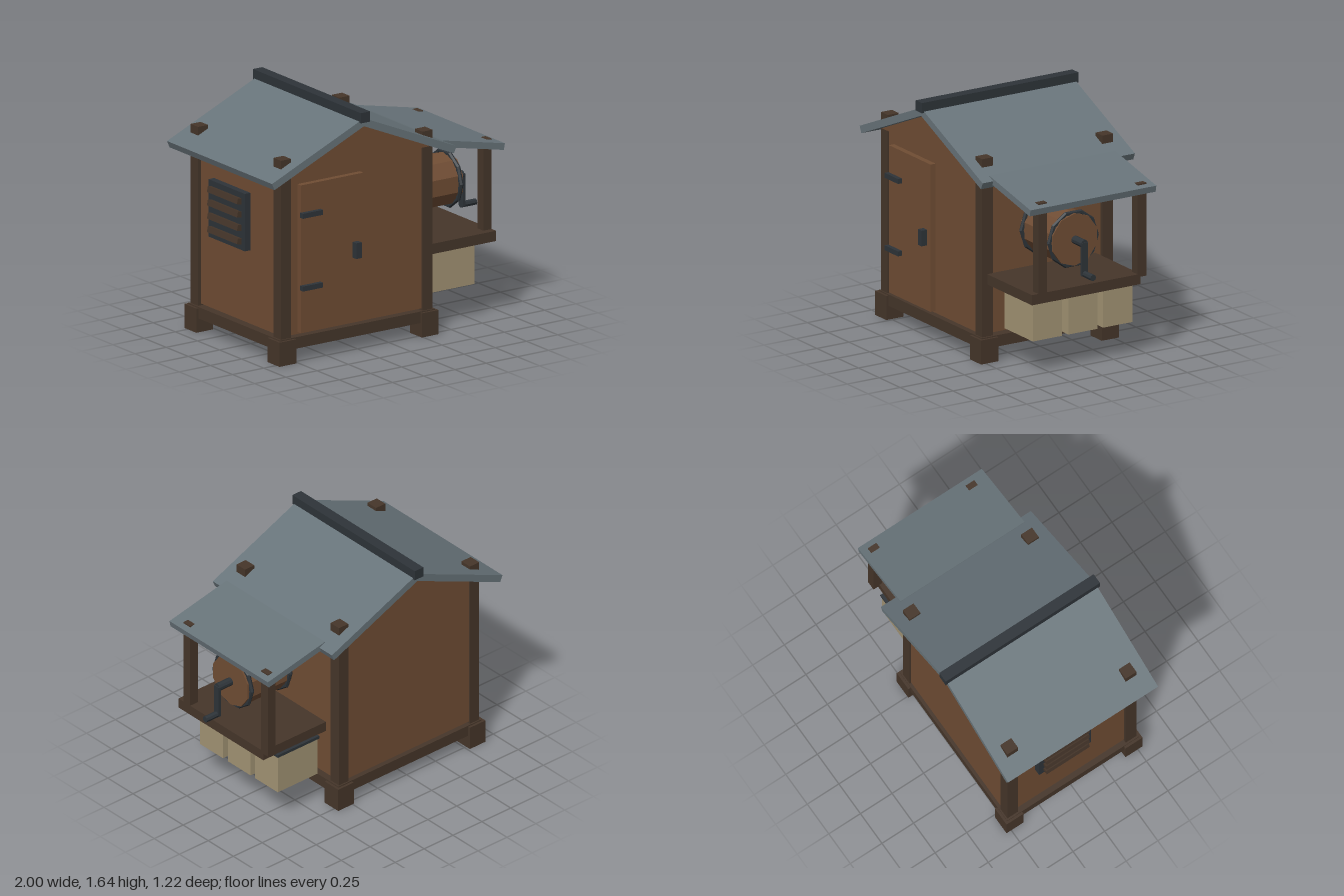
import * as THREE from 'three';

const mat = (color) => new THREE.MeshStandardMaterial({ color, flatShading: true });

export function createModel() {
  const model = new THREE.Group();
  const wood = mat(0x704d34), timber = mat(0x46362a), slate = mat(0x68747a);
  const iron = mat(0x2e3439), sack = mat(0xa39474);

  const add = (name, geometry, material, x, y, z) => {
    const mesh = new THREE.Mesh(geometry, material);
    mesh.name = name;
    mesh.position.set(x, y, z);
    model.add(mesh);
    return mesh;
  };
  // Box given by its extents on each axis
  const box = (name, material, [x0, x1], [y0, y1], [z0, z1]) =>
    add(name, new THREE.BoxGeometry(x1 - x0, y1 - y0, z1 - z0), material,
      (x0 + x1) / 2, (y0 + y1) / 2, (z0 + z1) / 2);
  // Round bar lying along x
  const barX = (name, material, x0, x1, y, z, r, sides) => {
    const g = new THREE.CylinderGeometry(r, r, x1 - x0, sides);
    g.rotateY(Math.PI / 2).rotateZ(-Math.PI / 2);
    return add(name, g, material, (x0 + x1) / 2, y, z);
  };
  // Sloping slab whose top edge runs from (x0, y0) to (x1, y1), x0 < x1
  const slab = (name, x0, y0, x1, y1, thick, z0, z1) => {
    const dx = x1 - x0, dy = y1 - y0, len = Math.hypot(dx, dy);
    const m = add(name, new THREE.BoxGeometry(len, thick, z1 - z0), slate,
      (x0 + x1) / 2 + (dy / len) * thick / 2, (y0 + y1) / 2 - (dx / len) * thick / 2, (z0 + z1) / 2);
    m.rotation.z = Math.atan2(dy, dx);
  };

  const cx = -0.263; // centre line of the shed

  // Base, feet and corner posts
  box('floor', timber, [cx - 0.62, cx + 0.62], [0.095, 0.173], [-0.52, 0.52]);
  for (const sx of [-1, 1]) {
    for (const sz of [-1, 1]) {
      add('foot', new THREE.BoxGeometry(0.135, 0.165, 0.135), timber, cx + sx * 0.57, 0.0825, sz * 0.47);
      add('cornerPost', new THREE.BoxGeometry(0.08, 1.23, 0.085), timber, cx + sx * 0.567, 0.78, sz * 0.468);
    }
  }

  // Walls and gable
  box('walls', wood, [cx - 0.585, cx + 0.585], [0.186, 1.287], [-0.5, 0.5]);
  const gable = new THREE.Shape();
  gable.moveTo(-0.6, 0);
  gable.lineTo(0.6, 0);
  gable.lineTo(0, 0.265);
  add('gable', new THREE.ExtrudeGeometry(gable, { depth: 1.024, bevelEnabled: false }), wood, cx, 1.287, -0.512);

  // Main roof
  slab('roofLeft', -1, 1.28, cx, 1.6, 0.05, -0.593, 0.593);
  slab('roofRight', cx, 1.6, 0.478, 1.28, 0.05, -0.593, 0.593);
  box('ridgeCap', iron, [cx - 0.037, cx + 0.037], [1.575, 1.645], [-0.61, 0.61]);

  // Door with hinges and handle
  box('door', wood, [-0.73, -0.23], [0.2, 1.21], [0.49, 0.54]);
  for (const y of [0.51, 1.007]) box('hinge', iron, [-0.735, -0.575], [y - 0.017, y + 0.017], [0.535, 0.57]);
  box('handle', iron, [-0.317, -0.273], [0.645, 0.752], [0.535, 0.582]);

  // Louvred vent on the right wall
  box('ventPlate', iron, [-0.893, -0.84], [0.688, 1.08], [-0.275, 0.135]);
  for (let i = 0; i < 4; i++) {
    const slat = add('ventSlat', new THREE.BoxGeometry(0.045, 0.04, 0.34), timber, -0.905, 0.75 + i * 0.091, -0.07);
    slat.rotation.z = -0.2;
  }

  // Side porch: shelf, posts and lean-to roof
  box('shelf', timber, [0.34, 0.882], [0.53, 0.6], [-0.375, 0.47]);
  for (const z of [-0.387, 0.387]) box('porchPost', timber, [0.815, 0.882], [0.58, 1.218], [z - 0.034, z + 0.034]);
  slab('porchRoof', 0.43, 1.306, 0.925, 1.2, 0.045, -0.47, 0.51);

  // Drum on an axle with hoops and crank
  const dy = 0.885, dz = 0.07;
  barX('drum', wood, 0.395, 0.78, dy, dz, 0.18, 10);
  barX('axle', iron, 0.3, 0.895, dy, dz, 0.028, 10);
  for (const x of [0.423, 0.755]) {
    const hoop = add('drumHoop', new THREE.TorusGeometry(0.185, 0.016, 6, 10), iron, x, dy, dz);
    hoop.rotation.y = Math.PI / 2;
  }
  box('crankArm', iron, [0.882, 0.902], [0.67, 0.895], [dz - 0.024, dz + 0.024]);
  barX('crankHandle', iron, 0.882, 1, 0.68, dz, 0.022, 8);

  // Hanging bins beneath the shelf
  for (const z of [-0.272, -0.002, 0.274]) {
    box('bin', sack, [0.422, 0.766], [0.237, 0.515], [z - 0.114, z + 0.114]);
    box('binRim', iron, [0.414, 0.774], [0.512, 0.532], [z - 0.124, z + 0.124]);
  }

  return model;
}
